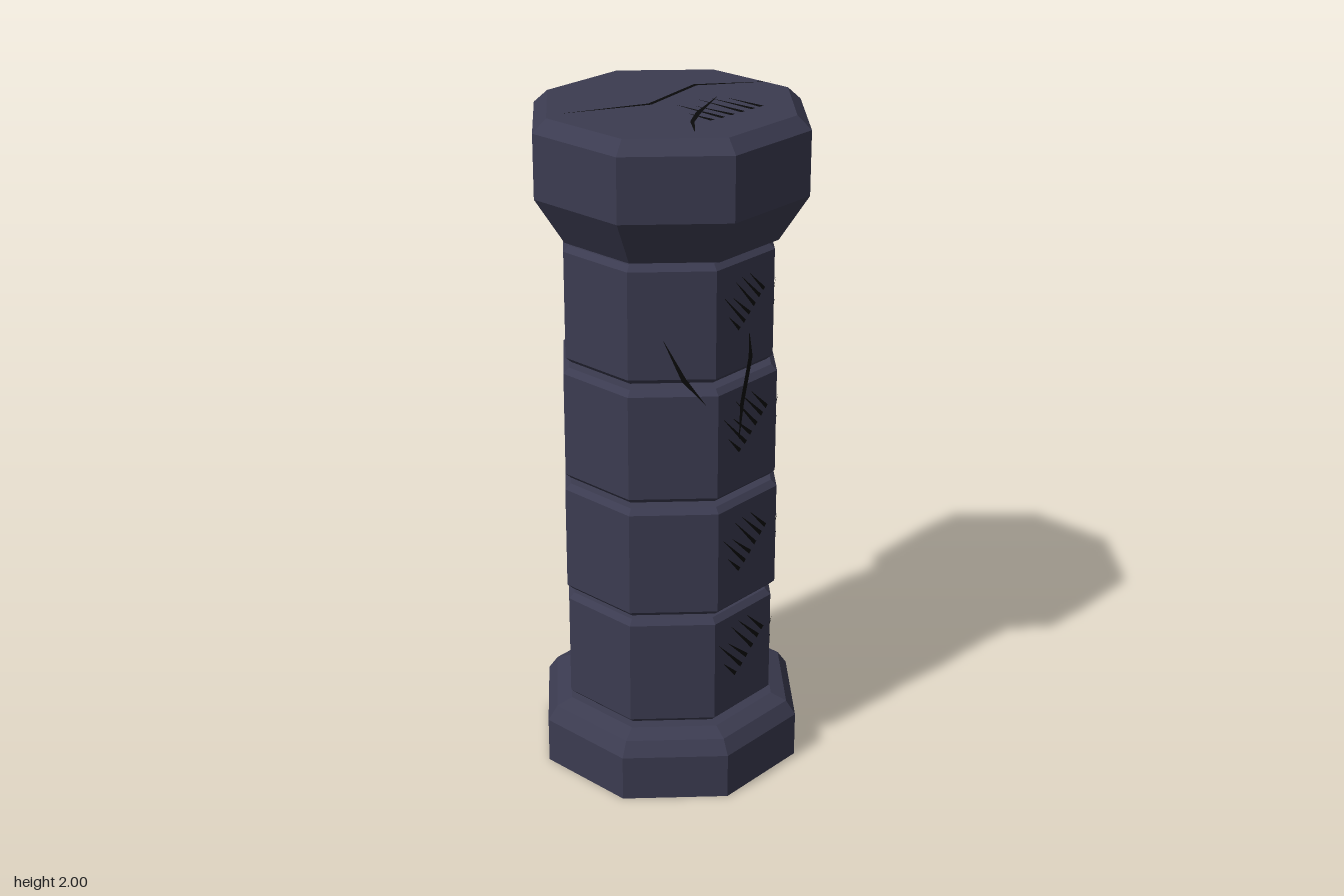
import * as THREE from 'three';

const stone = new THREE.MeshStandardMaterial({ color: 0x3b3b50, side: THREE.DoubleSide });
stone.name = 'dark stone';
const ink = new THREE.MeshStandardMaterial({ color: 0x0a0a0b, side: THREE.DoubleSide });
ink.name = 'crack black';

// Octagonal solid from [apothem, y] pairs listed bottom to top, with hard facets
function octagon(name, profile, x = 0, z = 0) {
  const k = 1 / Math.cos(Math.PI / 8);
  const pts = profile.map(([a, y]) => new THREE.Vector2(a * k, y));
  const geo = new THREE.LatheGeometry(pts, 8, Math.PI / 8).toNonIndexed();
  geo.computeVertexNormals();
  const mesh = new THREE.Mesh(geo, stone);
  mesh.name = name;
  mesh.position.set(x, 0, z);
  return mesh;
}

// Outline of a strip following a path, with its own width at every point
function strip(path, widths) {
  const pts = path.map(([x, y]) => new THREE.Vector2(x, y));
  const left = [], right = [];
  pts.forEach((p, i) => {
    const a = pts[Math.max(i - 1, 0)], b = pts[Math.min(i + 1, pts.length - 1)];
    const d = b.clone().sub(a).normalize().multiplyScalar(widths[i] / 2);
    left.push(new THREE.Vector2(p.x - d.y, p.y + d.x));
    right.unshift(new THREE.Vector2(p.x + d.y, p.y - d.x));
  });
  return new THREE.Shape([...left, ...right]);
}

function marks(name, shapes) {
  const mesh = new THREE.Mesh(new THREE.ShapeGeometry(shapes), ink);
  mesh.name = name;
  return mesh;
}

// Six slanting scratches: [tip x, tip y, end x, end y]
const scratches = [
  [0.043, -0.119, 0.105, -0.183], [0.017, -0.037, 0.135, -0.161],
  [0.066, -0.048, 0.163, -0.135], [0.079, 0.013, 0.191, -0.109],
  [0.115, 0.023, 0.221, -0.081], [0.161, 0.025, 0.245, -0.059],
];
const CENTER = [0.131, -0.079];
function hatch(name, x, y, scale) {
  const shapes = scratches.map(([ax, ay, bx, by]) => strip(
    [[ax, ay], [bx, by]].map(([u, v]) => [x + (u - CENTER[0]) * scale, y + (v - CENTER[1]) * scale]),
    [0.001, 0.016 * scale]));
  return marks(name, shapes);
}

export function createModel() {
  const model = new THREE.Group();
  model.name = 'pillar';

  // Foot, hollow underneath
  model.add(octagon('base', [[0.372, 0], [0.372, 0.14], [0.345, 0.182], [0.3, 0.2], [0, 0.2]]));

  // Flared head with a bevelled top
  model.add(octagon('capital', [[0, 1.645], [0.293, 1.645], [0.372, 1.78], [0.372, 1.963], [0.334, 2], [0, 2]]));

  // Wall planes that carry the scratches; local x runs right, local z outward
  const face = (name, angle) => {
    const g = new THREE.Group();
    g.name = name;
    g.rotation.y = angle;
    model.add(g);
    return g;
  };
  const front = face('frontMarks', 0);
  const corner = face('cornerMarks', Math.PI / 4);
  const side = face('sideMarks', Math.PI / 2);

  // Stacked drums: bottom, top, apothem, x shift, z shift, scratch height, corner scratch size
  const drums = [
    [0.21, 0.555, 0.297, -0.005, 0, 0.43, 0.85],
    [0.572, 0.915, 0.304, -0.002, 0.002, 0.775, 0.8],
    [0.932, 1.275, 0.3, -0.004, 0.002, 1.15, 0.8],
    [1.29, 1.635, 0.29, -0.007, 0.002, 1.505, 0.72],
  ];
  drums.forEach(([y0, y1, a, x, z, hy, size], i) => {
    const b = 0.016;
    model.add(octagon('drum' + (i + 1),
      [[0, y0], [a - b, y0], [a, y0 + b], [a, y1 - b], [a - b, y1], [0, y1]], x, z));
    const onCorner = hatch('cornerScratches' + (i + 1), -0.02, hy, size);
    onCorner.position.z = a + 0.004;
    corner.add(onCorner);
    const onSide = hatch('sideScratches' + (i + 1), -0.028, hy, 0.87);
    onSide.position.z = a + x + 0.004;
    side.add(onSide);
  });

  // Cracks across the upper two drums
  const frontCrack = marks('frontCrack',
    [strip([[-0.03, 1.425], [0.025, 1.31], [0.085, 1.235]], [0.001, 0.014, 0.001])]);
  frontCrack.position.z = 0.306;
  front.add(frontCrack);
  const cornerCrack = marks('cornerCrack',
    [strip([[-0.008, 1.415], [-0.001, 1.34], [-0.034, 1.21], [-0.045, 1.1]], [0.001, 0.017, 0.017, 0.001])]);
  cornerCrack.position.z = 0.303;
  corner.add(cornerCrack);

  // Marks on the top face
  const top = new THREE.Group();
  top.name = 'topMarks';
  top.rotation.x = -Math.PI / 2;
  top.position.y = 2.003;
  top.add(
    hatch('topScratches', CENTER[0], CENTER[1], 1),
    marks('longTopCrack',
      [strip([[-0.29, -0.105], [-0.055, -0.025], [0.077, 0.163], [0.29, 0.19]], [0.001, 0.014, 0.014, 0.001])]),
    marks('shortTopCrack',
      [strip([[0.13, 0.04], [0.072, -0.11], [0.051, -0.195], [0.052, -0.287]], [0.001, 0.015, 0.012, 0.001])]));
  model.add(top);

  return model;
}
